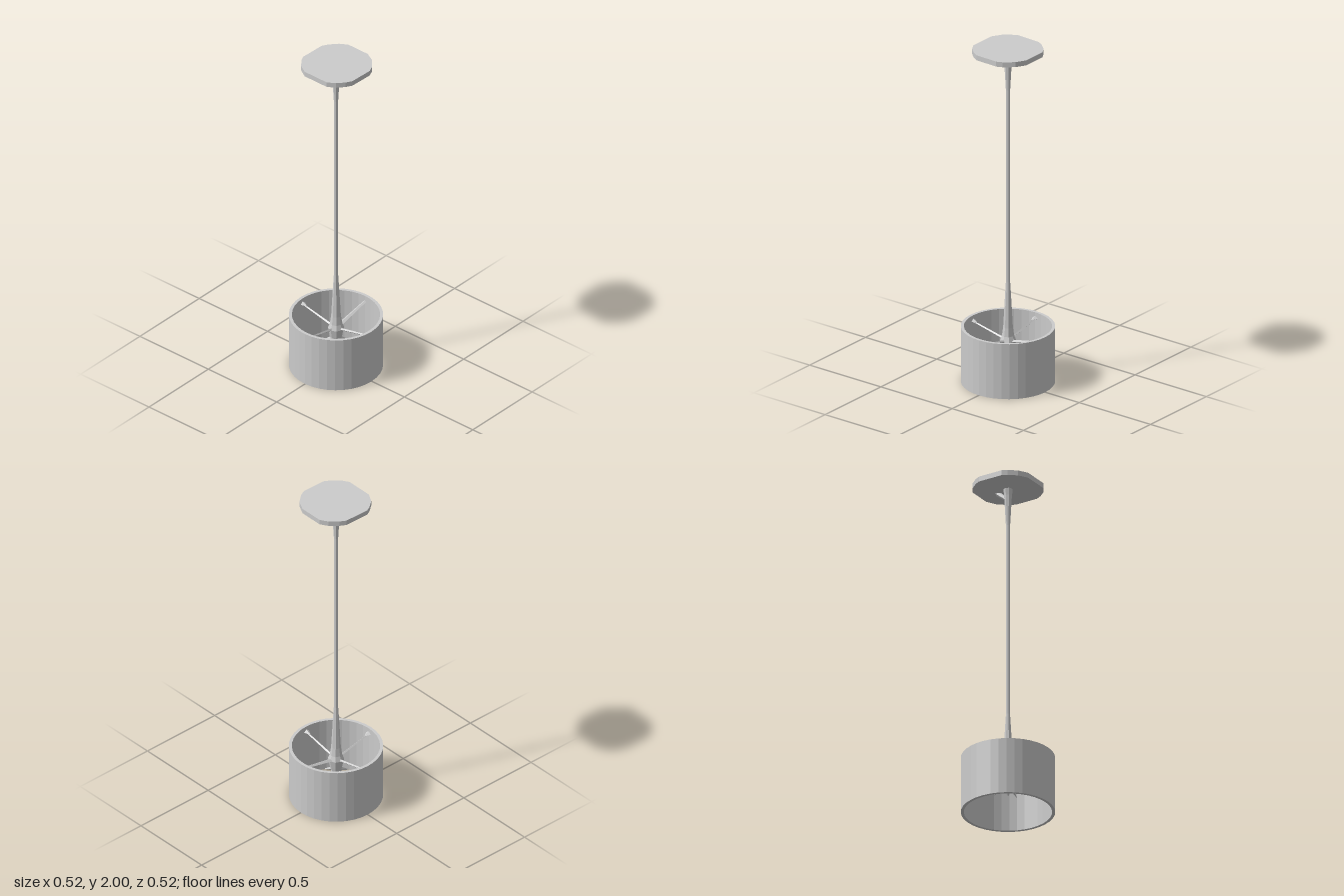
import * as THREE from 'three';

const material = new THREE.MeshStandardMaterial({ color: 0xcccccc, flatShading: true });

function add(parent, name, geometry) {
  const mesh = new THREE.Mesh(geometry, material);
  mesh.name = name;
  parent.add(mesh);
  return mesh;
}

// Tapered bar between two points
function bar(parent, name, from, to, r0, r1, sides = 6) {
  const a = new THREE.Vector3(...from), b = new THREE.Vector3(...to);
  const dir = b.clone().sub(a);
  const mesh = add(parent, name, new THREE.CylinderGeometry(r1, r0, dir.length(), sides));
  mesh.position.copy(a).add(b).multiplyScalar(0.5);
  mesh.quaternion.setFromUnitVectors(new THREE.Vector3(0, 1, 0), dir.normalize());
  return mesh;
}

function lathe(parent, name, profile, sides) {
  return add(parent, name, new THREE.LatheGeometry(profile.map(p => new THREE.Vector2(...p)), sides));
}

export function createModel() {
  const lamp = new THREE.Group();
  lamp.name = 'pendantLamp';

  // Ceiling plate: a rounded square with long flat sides
  const outline = [
    [-0.175, -0.08], [-0.155, -0.115], [-0.115, -0.16], [-0.07, -0.186],
    [0.07, -0.186], [0.13, -0.155], [0.175, -0.1], [0.19, -0.065],
    [0.185, 0.075], [0.165, 0.11], [0.13, 0.15], [0.085, 0.177],
    [-0.075, 0.177], [-0.13, 0.145], [-0.165, 0.1], [-0.18, 0.07],
  ].map(p => new THREE.Vector2(...p));
  const plate = new THREE.ExtrudeGeometry(new THREE.Shape(outline), { depth: 0.03, bevelEnabled: false });
  plate.rotateX(Math.PI / 2);
  add(lamp, 'ceilingPlate', plate).position.y = 2;

  // Rod, flared at the plate and at the shade, ending in the lamp socket
  lathe(lamp, 'rod', [
    [0.027, 0.33], [0.018, 0.5], [0.012, 0.6], [0.012, 1.75], [0.022, 1.93], [0.027, 1.975],
  ], 8);
  lathe(lamp, 'socket', [
    [0, 0.1], [0.022, 0.14], [0.035, 0.2], [0.045, 0.25], [0.034, 0.28], [0.027, 0.33],
  ], 8);

  // Brace beneath the plate
  bar(lamp, 'plateBrace', [0.008, 1.915, -0.01], [0.02, 1.972, -0.08], 0.012, 0.014);

  // Drum shade, open at top and bottom
  lathe(lamp, 'shade', [
    [0.244, 0.005], [0.261, 0.005], [0.261, 0.335], [0.244, 0.335], [0.244, 0.005],
  ], 36);

  // Four spokes carrying the shade, with small prongs around the socket
  for (let i = 0; i < 4; i++) {
    const arm = new THREE.Group();
    arm.name = 'shadeArm';
    arm.rotation.y = i * Math.PI / 2;
    const back = i === 2;
    const spoke = bar(arm, 'spoke', [0, 0.25, 0.02], [0, 0.3, 0.25], 0.008, 0.005, 4);
    if (back) spoke.scale.x = 1.8;
    else {
      const foot = bar(arm, 'spokeFoot', [0, 0.297, 0.215], [0, 0.303, 0.25], 0.004, 0.022, 4);
      foot.scale.z = 0.6;
    }
    bar(arm, 'socketProng', [0, 0.17, 0.02], [0, 0.13, 0.09], 0.014, 0.002, 4);
    lamp.add(arm);
  }

  return lamp;
}
